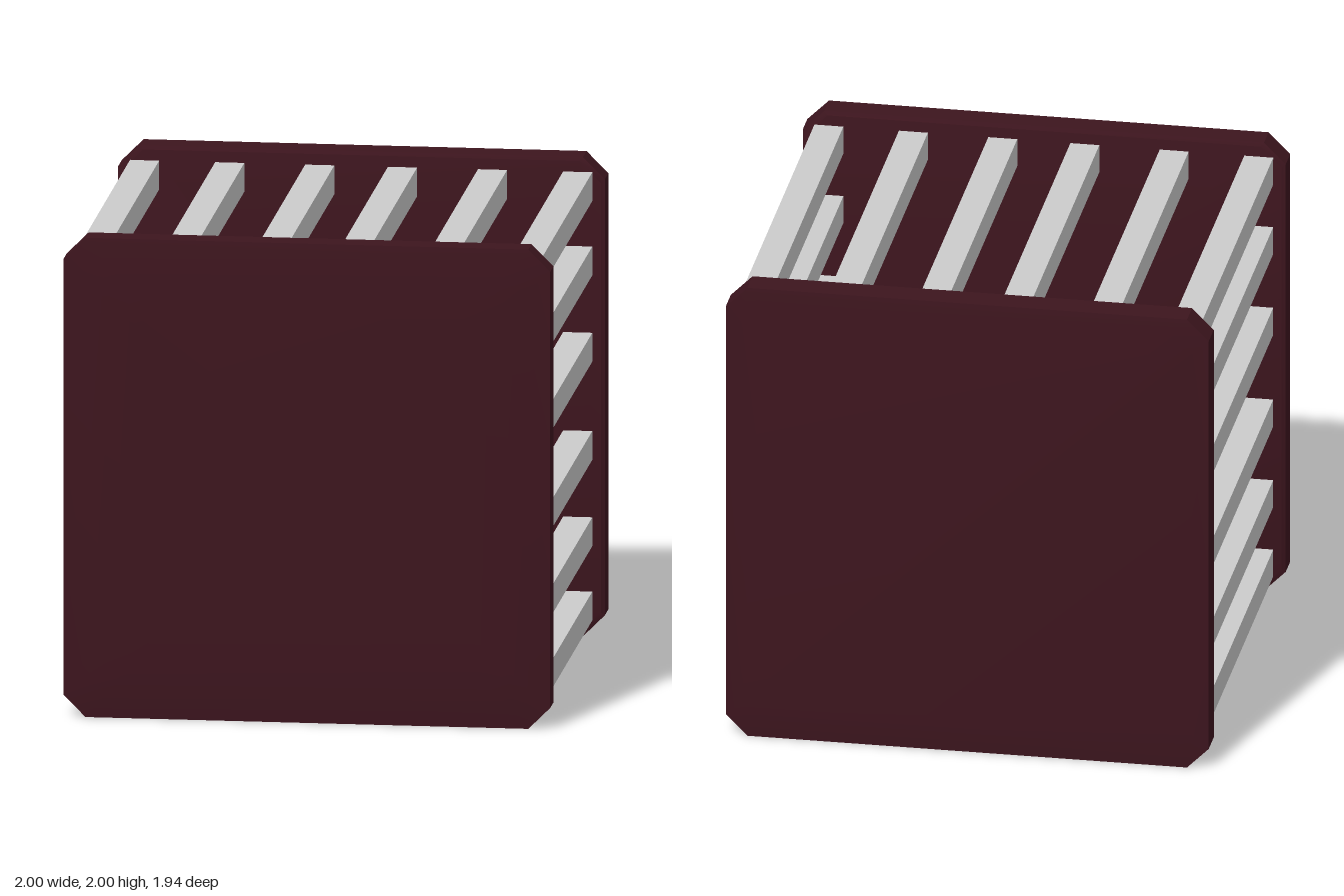
import * as THREE from 'three';
import { toCreasedNormals } from 'three/addons/utils/BufferGeometryUtils.js';

const grey = new THREE.MeshStandardMaterial({ color: 0xcccccc });
const darkRed = new THREE.MeshStandardMaterial({ color: 0x3d151e });

function box(name, sx, sy, sz, x, y, z) {
  const mesh = new THREE.Mesh(new THREE.BoxGeometry(sx, sy, sz), grey);
  mesh.name = name;
  mesh.position.set(x, y, z);
  return mesh;
}

// Square panel with cut corners, lofted through [z, half size] sections
// that run from low z to high z.
function panel(name, sections) {
  const pos = [], idx = [];
  for (const [z, h] of sections) {
    const k = h * 0.91;
    for (const [x, y] of [[h, -k], [h, k], [k, h], [-k, h], [-h, k], [-h, -k], [-k, -h], [k, -h]]) {
      pos.push(x, y, z);
    }
  }
  const last = sections.length - 1;
  for (let s = 0; s < last; s++) {
    for (let i = 0; i < 8; i++) {
      const a = s * 8 + i, b = s * 8 + (i + 1) % 8;
      idx.push(a, b, b + 8, a, b + 8, a + 8);
    }
  }
  // End caps
  for (let i = 1; i < 7; i++) {
    idx.push(0, i + 1, i);
    idx.push(last * 8, last * 8 + i, last * 8 + i + 1);
  }
  const geo = new THREE.BufferGeometry();
  geo.setAttribute('position', new THREE.Float32BufferAttribute(pos, 3));
  geo.setIndex(idx);
  const mesh = new THREE.Mesh(toCreasedNormals(geo, Math.PI / 6), darkRed);
  mesh.name = name;
  mesh.position.y = 1;
  return mesh;
}

export function createModel() {
  const model = new THREE.Group();
  model.name = 'slattedCrate';

  // Gently domed front panel and flat back panel
  model.add(panel('frontPanel', [[0.83, 0.985], [0.84, 1], [0.945, 1], [0.957, 0.92], [0.964, 0.83], [0.968, 0.7]]));
  model.add(panel('backPanel', [[-0.968, 0.93], [-0.958, 1], [-0.84, 1], [-0.83, 0.985]]));

  // Slats joining the panels around all four sides
  const t = 0.12, len = 1.67;
  const rowX = [-0.89, -0.54, -0.17, 0.17, 0.54, 0.89];
  const rowY = [0.44, 0.8, 1.21, 1.57];
  for (const x of rowX) {
    model.add(box('topSlat', t, t, len, x, 1.88, 0));
    model.add(box('bottomSlat', t, t, len, x, 0.13, 0));
  }
  for (const y of rowY) {
    for (const side of [-1, 1]) model.add(box('sideSlat', t, t, len, side * 0.89, y, 0));
  }

  // Rectangular frame set into the floor
  const shape = new THREE.Shape([[-0.815, -0.79], [0.815, -0.79], [0.815, 0.79], [-0.815, 0.79]].map(p => new THREE.Vector2(...p)));
  shape.holes.push(new THREE.Path([[-0.73, -0.707], [-0.73, 0.707], [0.73, 0.707], [0.73, -0.707]].map(p => new THREE.Vector2(...p))));
  const frame = new THREE.Mesh(new THREE.ExtrudeGeometry(shape, { depth: 0.15, bevelEnabled: false }), grey);
  frame.name = 'floorFrame';
  frame.rotation.x = -Math.PI / 2;
  frame.position.set(0, 0.05, 0.01);
  model.add(frame);

  return model;
}
